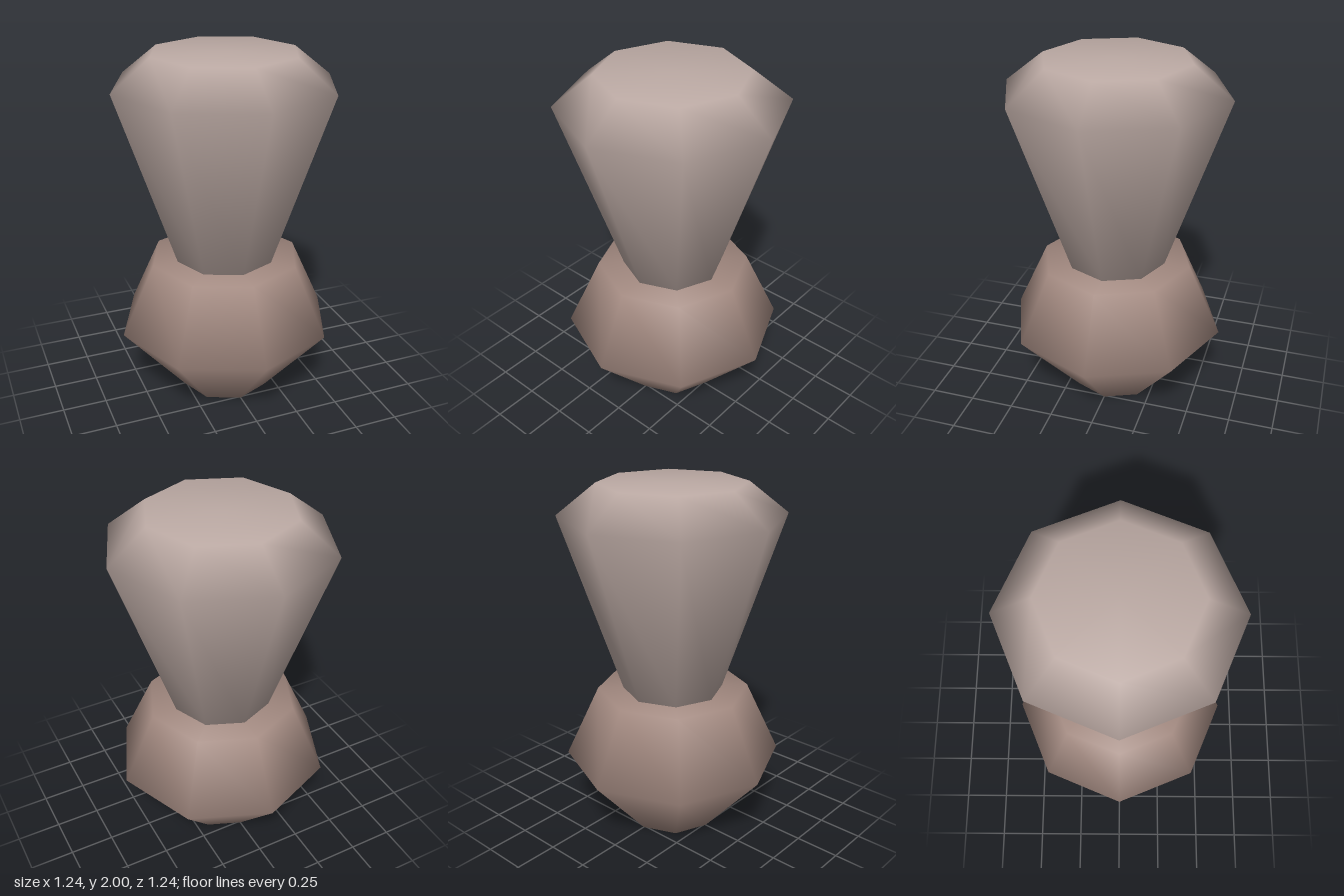
import * as THREE from 'three';

const SIDES = 8;

// Closed eight-sided turned solid with soft normals; profile runs bottom to top
function turned(name, profile, material) {
  const points = profile.map(([r, y]) => new THREE.Vector2(r, y));
  points.unshift(new THREE.Vector2(0, profile[0][1]));
  points.push(new THREE.Vector2(0, profile[profile.length - 1][1]));
  const mesh = new THREE.Mesh(new THREE.LatheGeometry(points, SIDES), material);
  mesh.name = name;
  return mesh;
}

export function createModel() {
  const paleStone = new THREE.MeshStandardMaterial({ color: 0xbcaaa4 });
  paleStone.name = 'pale stone';
  const brownStone = new THREE.MeshStandardMaterial({ color: 0xa1887f });
  brownStone.name = 'brown stone';

  const group = new THREE.Group();
  group.name = 'stackedStones';
  group.add(
    // Squat faceted base
    turned('base', [[0.26, 0], [0.62, 0.42], [0.43, 0.83]], brownStone),
    // Flared upper body with a bevelled top
    turned('flaredTop', [[0.285, 0.83], [0.62, 1.83], [0.405, 2]], paleStone)
  );
  return group;
}
